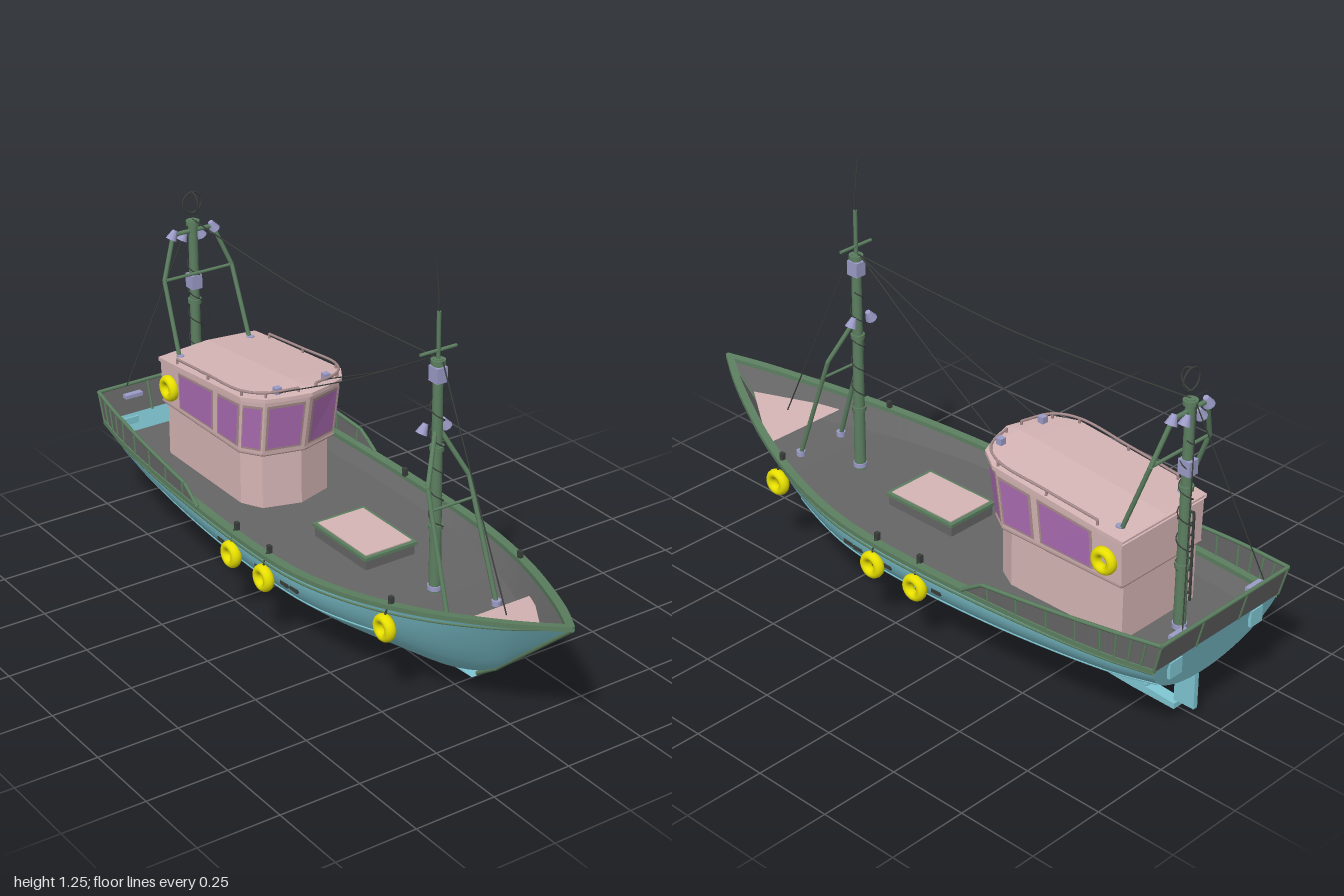
import * as THREE from 'three';

const V = (x, y, z) => new THREE.Vector3(x, y, z);
const mats = {};
const paint = (c) => (mats[c] ??= new THREE.MeshStandardMaterial({ color: c, side: THREE.DoubleSide }));
const BLUE = 0x7fc6d2, GREY = 0x666666, GREEN = 0x5c7f60, PINK = 0xd6b5b5, TRIM = 0xa88c8c;
const YELLOW = 0xe8e000, GLASS = 0xac6cb4, STEEL = 0x9c9cc8, DARK = 0x3a3f3c;

// Hull lines from stern to bow: sheer (half breadth, y, z) and keel (fullness, y, z)
const sheer = new THREE.CatmullRomCurve3([
  V(.262, .31, -.97), V(.288, .303, -.8), V(.313, .295, -.4), V(.317, .293, 0), V(.303, .3, .2),
  V(.263, .318, .4), V(.198, .345, .6), V(.11, .38, .8), V(.058, .4, .9), V(0, .42, .995)]);
const keelLine = new THREE.CatmullRomCurve3([
  V(.9, .165, -.93), V(.95, .14, -.8), V(1, .095, -.4), V(1, .08, 0), V(.95, .078, .2),
  V(.8, .078, .38), V(.6, .08, .53), V(.3, .145, .68), V(.15, .25, .8), V(0, .418, .993)]);

// Point on the hull at station t and relative height h (0 keel, 1 sheer)
function hullPoint(t, h, side = 1) {
  const s = sheer.getPoint(t), k = keelLine.getPoint(t);
  const round = Math.sqrt(Math.max(0, 1 - (1 - h) ** 2));
  return V(side * Math.max(0, s.x) * THREE.MathUtils.lerp(h, round, k.x),
    THREE.MathUtils.lerp(k.y, s.y, h), THREE.MathUtils.lerp(k.z, s.z, h));
}

// Surface through rows of points
function loft(rows, smooth = false, closed = false) {
  const n = rows[0].length, pos = [], idx = [], last = closed ? n : n - 1;
  rows.forEach((r) => r.forEach((p) => pos.push(p.x, p.y, p.z)));
  for (let i = 0; i < rows.length - 1; i++) for (let j = 0; j < last; j++) {
    const a = i * n + j, b = i * n + (j + 1) % n;
    idx.push(a, b, a + n, b, b + n, a + n);
  }
  let g = new THREE.BufferGeometry();
  g.setAttribute('position', new THREE.Float32BufferAttribute(pos, 3));
  g.setIndex(idx);
  if (!smooth) g = g.toNonIndexed();
  g.computeVertexNormals();
  return g;
}

export function createModel() {
  const boat = new THREE.Group();
  boat.name = 'fishingBoat';
  const add = (name, geo, color, x = 0, y = 0, z = 0) => {
    const m = new THREE.Mesh(geo, paint(color));
    m.name = name;
    m.position.set(x, y, z);
    boat.add(m);
    return m;
  };
  const box = (name, w, h, d, color, x, y, z) => add(name, new THREE.BoxGeometry(w, h, d), color, x, y, z);
  const tube = (name, pts, r, color, seg = 40) =>
    add(name, new THREE.TubeGeometry(new THREE.CatmullRomCurve3(pts), seg, r, 6), color);
  const bars = (name, pts, r, color) => pts.slice(1).forEach((b, i) => {
    const a = pts[i], d = b.clone().sub(a);
    const m = add(name, new THREE.CylinderGeometry(r, r, d.length(), 8), color);
    m.position.copy(a).addScaledVector(d, .5);
    m.quaternion.setFromUnitVectors(V(0, 1, 0), d.normalize());
  });
  const range = (n, f) => Array.from({ length: n + 1 }, (_, i) => f(i / n));

  // Hull shell and transom
  const section = (t) => range(32, (u) => {
    const a = (u * 2 - 1) * Math.PI / 2;
    return hullPoint(t, 1 - Math.cos(a), Math.sign(a) || 1);
  });
  add('hull', loft(range(60, section), true), BLUE);
  const end = section(0);
  add('transom', loft([end.slice(0, 17), end.slice(16).reverse()]), BLUE);

  // Deck with sloping inner bulwarks
  add('deck', loft(range(50, (t) => {
    const s = sheer.getPoint(t), k = keelLine.getPoint(t);
    const y = Math.min(.25 + .3 * (s.y - .295), s.y);
    const p = hullPoint(t, THREE.MathUtils.clamp((y - k.y) / (s.y - k.y), 0, 1));
    const x = Math.max(0, s.x - .008), w = p.x * .87;
    return [V(-x, s.y, s.z), V(-w, p.y, p.z), V(w, p.y, p.z), V(x, s.y, s.z)];
  })), GREY);
  add('foredeck', loft([[V(-.155, .305, .64), V(.155, .305, .64)], [V(0, .335, .875), V(0, .335, .875)]]), PINK);

  // Cap rails, rubbing strakes, scuppers
  for (const s of [1, -1]) {
    add('capRail', loft(range(50, (t) => {
      const p = sheer.getPoint(t), o = s * (Math.max(0, p.x) + .005), i = s * Math.max(0, p.x - .022);
      return [V(o, p.y - .008, p.z), V(o, p.y + .006, p.z), V(i, p.y + .006, p.z), V(i, p.y - .008, p.z)];
    }), false, true), GREEN);
    tube('upperStrake', range(30, (u) => hullPoint(u * .97, .9, s)), .004, GREEN, 60);
    tube('lowerStrake', range(20, (u) => hullPoint(u * .6, .5, s)), .004, BLUE);
    for (const t of [.27, .325, .385, .41]) {
      const p = hullPoint(t, .72, s);
      box('scupper', .008, .012, .035, DARK, p.x, p.y, p.z);
    }
  }
  bars('stem', [V(0, .413, .99), V(0, .25, .802), V(0, .145, .682), V(0, .09, .6)], .006, GREEN);

  // Raised bulwark round the stern with capping and ribs
  const wallBase = (t, s) => { const p = sheer.getPoint(t); return V(s * p.x, p.y - .005, p.z); };
  const wallTop = (t, s) => {
    const p = sheer.getPoint(t), z = p.z;
    const y = z < -.4 ? .345 + .055 * (-.4 - z) / .57 : THREE.MathUtils.lerp(.345, .297, (z + .4) / .07);
    return V(s * (p.x + .003), y, z - .025 * Math.max(0, (-z - .8) / .17));
  };
  const wallPath = [...range(24, (u) => [.241 * (1 - u), 1]), ...range(24, (u) => [.241 * u, -1])];
  add('sternBulwark', loft(wallPath.map(([t, s]) => [wallBase(t, s), wallTop(t, s)])), GREY);
  bars('sternRail', wallPath.map(([t, s]) => wallTop(t, s)), .006, GREEN);
  for (const s of [1, -1]) {
    for (let i = 0; i < 9; i++) bars('bulwarkRib', [wallBase(i * .027, s), wallTop(i * .027, s)], .004, GREEN);
    box('sternPlate', .05, .05, .01, BLUE, s * .17, .275, -.966);
    box('sternCleat', .06, .012, .02, STEEL, s * .16, .375, -.965);
    bars('sternRib', [V(s * .09, .305, -.97), V(s * .09, .4, -.995)], .004, GREEN);
  }

  // Keel fin with heel, rudder and propeller
  const fin = new THREE.Shape([[.6, .082], [.2, .09], [-.4, .11], [-.72, .14], [-.74, .03], [-.85, .022], [-.85, .004],
    [-.7, .006], [0, .045]].map(([z, y]) => new THREE.Vector2(-z, y)));
  const finGeo = new THREE.ExtrudeGeometry(fin, { depth: .036, bevelEnabled: false });
  finGeo.translate(0, 0, -.018).rotateY(Math.PI / 2);
  add('keel', finGeo, BLUE);
  box('rudder', .016, .115, .07, BLUE, 0, .085, -.875);
  bars('rudderStock', [V(0, 0.003, -.843), V(0, .17, -.843)], .006, BLUE);
  bars('propellerShaft', [V(0, .08, -.7), V(0, .08, -.765)], .01, BLUE);
  for (let i = 0; i < 3; i++) {
    const blade = add('propellerBlade', new THREE.SphereGeometry(1, 10, 8), BLUE, 0, .08, -.752);
    blade.geometry.scale(.016, .024, .004).rotateY(.5).translate(0, .026, 0);
    blade.rotation.z = i * Math.PI * 2 / 3 + Math.PI / 2;
  }

  // Cargo hatch
  box('hatchCoaming', .17, .05, .255, GREY, 0, .265, .063);
  box('hatchRim', .182, .01, .266, GREEN, 0, .287, .063);
  box('hatchCover', .16, .01, .24, PINK, 0, .29, .063);

  // Wheelhouse: each outline is half a plan from the back corner to the nose
  const roofY = (z) => .573 + .095 * (z + .77);
  const ring = (half, y) => [...half.map(([x, z]) => V(x, y(z), z)),
    ...half.slice(0, -1).reverse().map(([x, z]) => V(-x, y(z), z))];
  const base = [[.15, -.765], [.15, -.36], [.115, -.295], [0, -.26]];
  const sill = [[.165, -.77], [.165, -.34], [.125, -.278], [0, -.245]];
  const head = [[.17, -.77], [.17, -.315], [.13, -.25], [0, -.208]];
  add('wheelhouse', loft([ring(base, () => .245), ring(base, () => .43), ring(sill, () => .435),
    ring(head, roofY)], false, true), PINK);
  const eaves = [[.174, -.775], [.177, -.68], [.177, -.31], [.135, -.243], [.07, -.216], [0, -.198]];
  add('wheelhouseRoof', loft(eaves.map(([x, z]) => {
    const y = roofY(z), c = .006 + .012 * x / .177;
    return [V(-x, y - .006, z), V(-x, y + .006, z), V(0, y + c, z), V(x, y + .006, z), V(x, y - .006, z)];
  }), false, true), PINK);
  const ledge = ring(sill, () => .434);
  bars('sillTrim', [...ledge, ledge[0]], .004, TRIM);

  // Windows lie on a wall segment, given by fractions of its width and height
  const pane = (name, s, i, u0, u1, v0, v1, off, color) => {
    const P = ([x, z], y) => V(s * x, y, z);
    const at = (u, v) => P(sill[i], .435).lerp(P(sill[i + 1], .435), u)
      .lerp(P(head[i], roofY(head[i][1])).lerp(P(head[i + 1], roofY(head[i + 1][1])), u), v);
    const n = at(1, 0).sub(at(0, 0)).cross(at(0, 1).sub(at(0, 0))).normalize();
    n.multiplyScalar(n.x * s > 0 ? off : -off);
    add(name, loft([[at(u0, v0).add(n), at(u1, v0).add(n)], [at(u0, v1).add(n), at(u1, v1).add(n)]]), color);
  };
  for (const s of [1, -1]) {
    for (const [i, u0, u1] of [[0, .25, .65], [0, .74, .97], [1, .12, .88], [2, .1, .86]]) {
      const m = i ? .05 : .02;
      pane('windowFrame', s, i, u0 - m, u1 + m, .07, .88, .002, TRIM);
      pane('window', s, i, u0, u1, .11, .84, .004, GLASS);
    }
    // Roof handrail and its posts
    const rail = [[.165, -.68], [.168, -.5], [.166, -.32], [.125, -.255], [.03, -.225]];
    tube('roofRail', rail.map(([x, z]) => V(s * x, roofY(z) + .022, z)), .004, TRIM);
    rail.forEach(([x, z]) => bars('railPost', [V(s * x, roofY(z), z), V(s * x, roofY(z) + .022, z)], .004, TRIM));
    box('roofLamp', .02, .02, .02, STEEL, s * .085, roofY(-.25) + .02, -.255);
  }

  // Ladder on the back wall
  for (const x of [-.11, -.06]) bars('ladderRail', [V(x, .27, -.785), V(x, .55, -.785), V(x, .55, -.77)], .004, DARK);
  for (let i = 0; i < 7; i++) bars('ladderRung', [V(-.11, .3 + i * .037, -.785), V(-.06, .3 + i * .037, -.785)], .003, DARK);

  // Tyre fenders on ropes, and life rings
  const tyre = (name, x, y, z) => {
    const t = add(name, new THREE.TorusGeometry(.028, .0135, 12, 28), YELLOW, x, y, z);
    t.geometry.scale(1, 1, 1.25).rotateY(Math.PI / 2);
  };
  for (const s of [1, -1]) {
    for (const [x, y, z, top] of [[.243, .267, .5, .335], [.32, .225, .02, .3], [.32, .225, -.15, .3]]) {
      tyre('fender', s * x, y, z);
      bars('fenderRope', [V(s * x, y + .035, z), V(s * (x - .012), top, z), V(s * (x - .03), top + .012, z)], .003, DARK);
      box('fenderCleat', .012, .025, .014, DARK, s * (x - .022), top + .01, z);
    }
    tyre('lifeRing', s * .175, .497, -.715);
  }

  // Masts with collars and a wound rope
  for (const z of [.4, -.84]) {
    add('mast', new THREE.CylinderGeometry(.014, .018, .72, 16), GREEN, 0, .605, z);
    for (const y of [.27, .46, .7, .955]) add('mastCollar', new THREE.CylinderGeometry(.021, .021, .014, 16), y < .3 ? STEEL : GREEN, 0, y, z);
    tube('mastRope', range(60, (u) => V(.02 * Math.cos(u * 31), .45 + u * .4, z + .02 * Math.sin(u * 31))), .0018, DARK, 240);
  }
  bars('topmast', [V(0, .96, .4), V(0, 1.1, .4)], .006, GREEN);
  tube('aerial', [V(0, 1.09, .4), V(-.003, 1.17, .4), V(-.014, 1.255, .4)], .002, DARK);
  bars('yard', [V(-.06, .988, .4), V(.06, .988, .4)], .005, GREEN);
  box('mastLamp', .035, .045, .04, STEEL, 0, .92, .4);
  box('mastLamp', .035, .045, .04, STEEL, 0, .765, -.842);
  add('mastRing', new THREE.TorusGeometry(.033, .003, 6, 32), DARK, 0, 1.02, -.84);
  const arc = add('mastHalfRing', new THREE.TorusGeometry(.033, .003, 6, 20, Math.PI), DARK, 0, 1.02, -.84);
  arc.geometry.rotateZ(-Math.PI / 2).rotateY(-Math.PI / 2);

  // Mast legs, crossbars and lamps
  for (const s of [1, -1]) {
    bars('foreMastLeg', [V(0, .77, .395), V(s * .07, .62, .455), V(s * .083, .27, .572)], .007, GREEN);
    add('legFoot', new THREE.CylinderGeometry(.014, .014, .02, 12), STEEL, s * .083, .27, .572);
    bars('aftMastLeg', [V(0, .93, -.84), V(s * .07, .93, -.84), V(s * .12, .8, -.815), V(s * .126, .565, -.725)], .007, GREEN);
    add('legFoot', new THREE.CylinderGeometry(.012, .012, .016, 12), STEEL, s * .126, .582, -.725);
    for (const [x, y, z] of [[.035, .76, .385], [.028, .915, -.85], [.07, .93, -.84]]) {
      const lamp = add('floodlight', new THREE.CylinderGeometry(.008, .018, .03, 10), STEEL, s * x, y, z);
      lamp.rotation.z = s * .5;
    }
    // Stays to the wheelhouse roof and the stern
    tube('roofStay', [V(0, .962, .38), V(s * .04, .79, .07), V(s * .085, .635, -.25)], .0018, DARK);
    bars('backstay', [V(0, .955, -.86), V(s * .17, .4, -.985)], .0018, DARK);
  }
  bars('foreCrossbar', [V(-.072, .56, .475), V(.072, .56, .475)], .004, GREEN);
  bars('aftCrossbar', [V(-.12, .8, -.815), V(.12, .8, -.815)], .005, GREEN);

  // Forestay and the wire between the masts
  bars('forestay', [V(0, .962, .42), V(0, .33, .72)], .002, DARK);
  tube('mastWire', [V(0, .965, .4), V(0, .945, .05), V(0, .935, -.22), V(0, .945, -.5), V(0, .965, -.84)], .0022, DARK);
  return boat;
}
